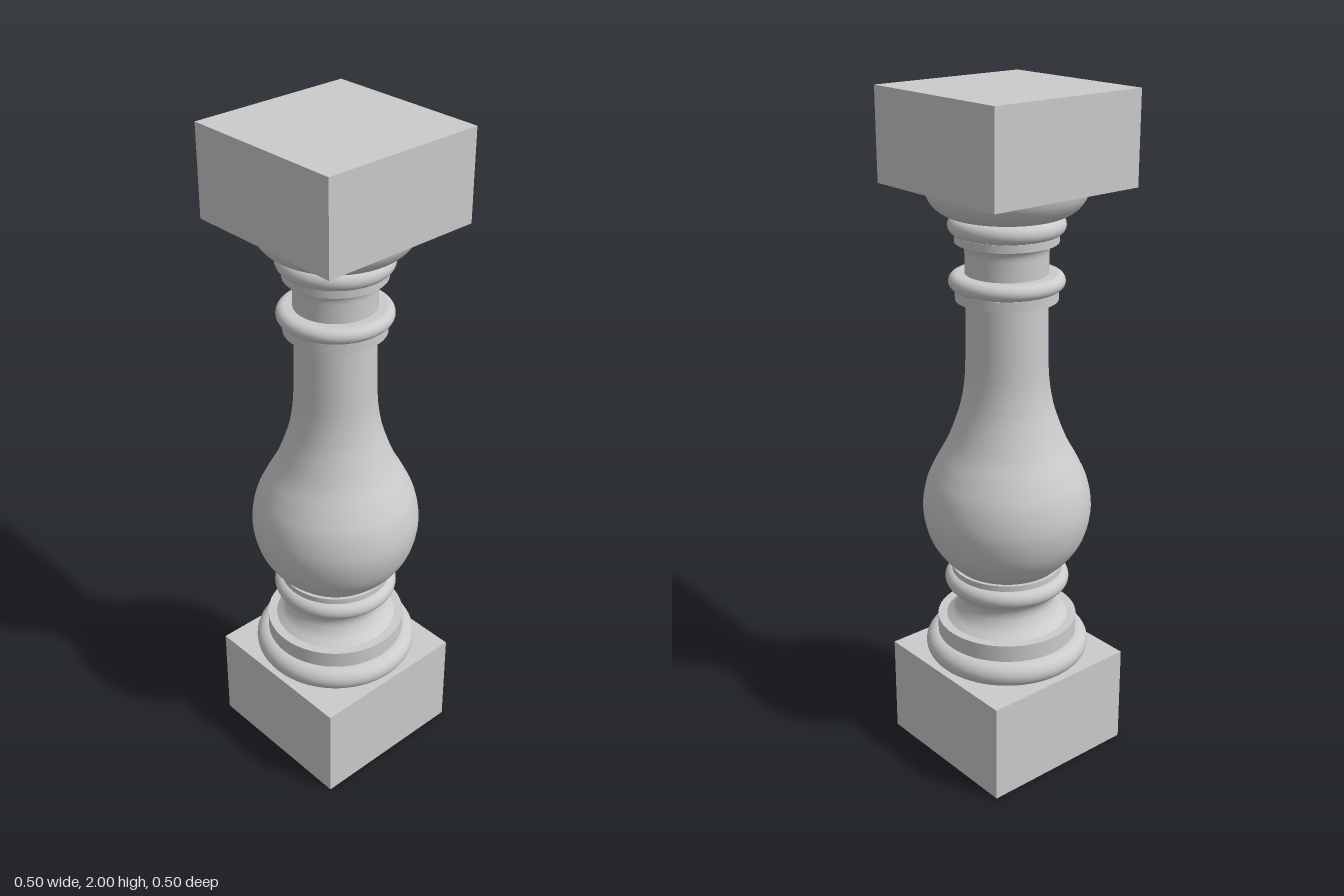
import * as THREE from 'three';

const material = new THREE.MeshStandardMaterial({ color: 0xcccccc });
const INNER = 0.1; // radius where the hidden end faces of turned parts stop

// Smooth run through [radius, height] points
const curve = (points, steps = 24) =>
  new THREE.SplineCurve(points.map(([r, y]) => new THREE.Vector2(r, y))).getPoints(steps);

// Straight vertical band
const band = (r, y0, y1) => [new THREE.Vector2(r, y0), new THREE.Vector2(r, y1)];

// Rounded bead: half ellipse bulging from radius r to rMax
function bead(r, rMax, y0, y1, steps = 16) {
  const points = [];
  for (let i = 0; i <= steps; i++) {
    const a = Math.PI * (i / steps - 0.5);
    points.push(new THREE.Vector2(r + (rMax - r) * Math.cos(a), (y0 + y1) / 2 + (y1 - y0) / 2 * Math.sin(a)));
  }
  return points;
}

export function createModel() {
  const group = new THREE.Group();
  group.name = 'baluster';

  const add = (name, geometry, y = 0) => {
    const mesh = new THREE.Mesh(geometry, material);
    mesh.name = name;
    mesh.position.y = y;
    group.add(mesh);
  };

  const block = (name, y0, y1) =>
    add(name, new THREE.BoxGeometry(0.498, y1 - y0, 0.498), (y0 + y1) / 2);

  // Turned part with flat ends; doubled end points keep the rims sharp
  const turned = (name, run) => {
    const first = run[0], last = run[run.length - 1];
    add(name, new THREE.LatheGeometry([
      new THREE.Vector2(INNER, first.y), first.clone(),
      ...run,
      last.clone(), new THREE.Vector2(INNER, last.y),
    ], 64));
  };

  // Square blocks
  block('plinth', 0, 0.305);
  block('topBlock', 1.74, 2);

  // Base mouldings
  turned('baseTorus', bead(0.21, 0.247, 0.305, 0.38));
  turned('baseFillet', band(0.21, 0.38, 0.432));
  turned('baseScotia', curve([[0.183, 0.432], [0.16, 0.452], [0.147, 0.475], [0.143, 0.495], [0.148, 0.515], [0.163, 0.535]]));
  turned('lowerBead', bead(0.16, 0.186, 0.533, 0.588));
  turned('lowerFillet', band(0.165, 0.588, 0.606));

  // Vase-shaped shaft
  turned('shaft', curve([
    [0.155, 0.606], [0.198, 0.65], [0.232, 0.71], [0.248, 0.79], [0.237, 0.87], [0.209, 0.935],
    [0.174, 1.0], [0.145, 1.075], [0.13, 1.13], [0.12, 1.2], [0.117, 1.3], [0.115, 1.425],
  ], 72));

  // Collar and neck
  turned('collarFillet', band(0.145, 1.425, 1.455));
  turned('collarBead', bead(0.14, 0.163, 1.455, 1.5));
  turned('neck', curve([[0.117, 1.5], [0.117, 1.54], [0.118, 1.565], [0.124, 1.58], [0.134, 1.589]]));

  // Capital mouldings
  turned('capitalFillet', band(0.145, 1.588, 1.61));
  turned('capitalBead', bead(0.14, 0.163, 1.61, 1.66));
  turned('capitalEchinus', curve([[0.143, 1.66], [0.173, 1.668], [0.2, 1.686], [0.218, 1.712], [0.226, 1.74]]));

  return group;
}
